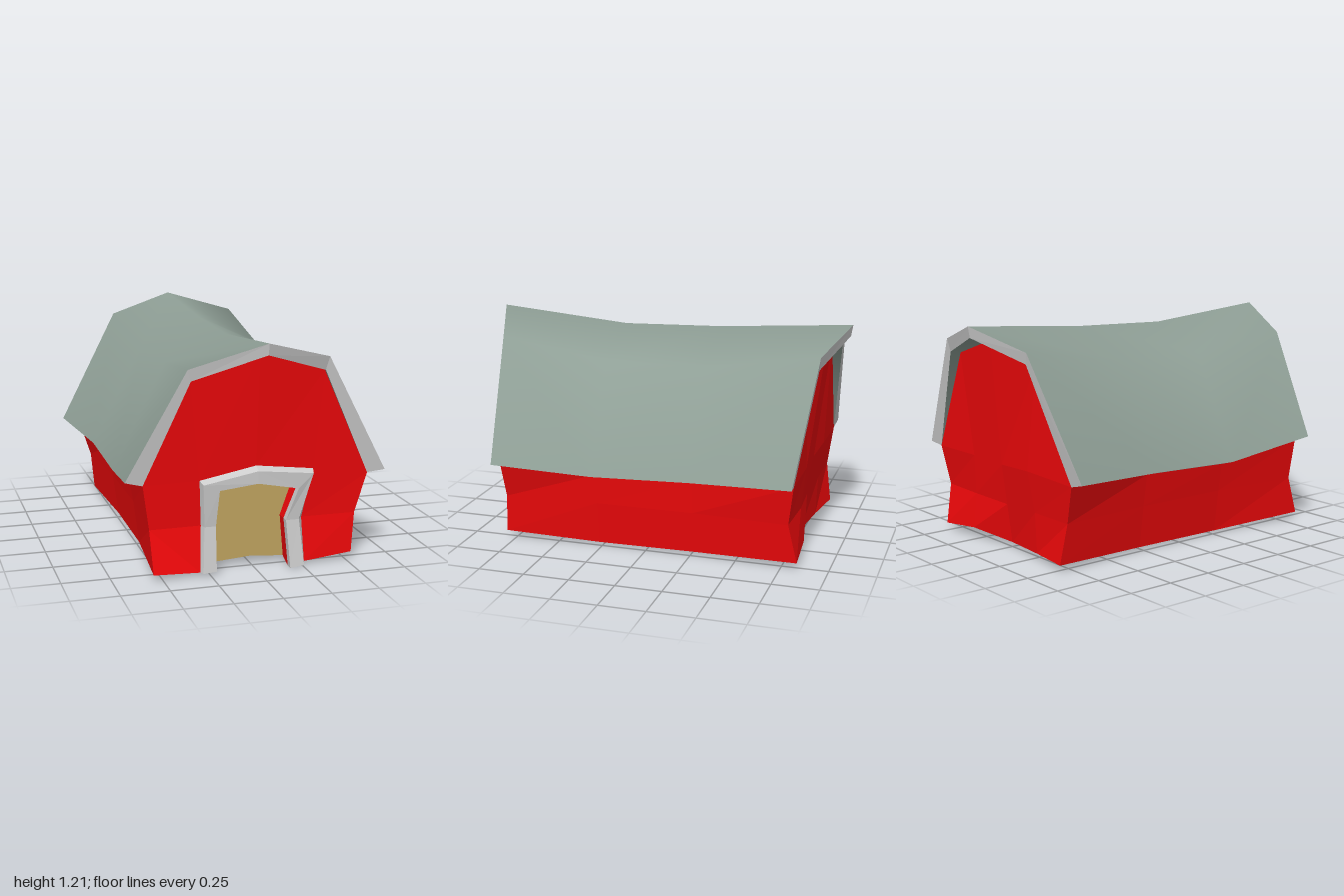
import * as THREE from 'three';

const material = (color, flatShading = true, side = THREE.DoubleSide) =>
  new THREE.MeshStandardMaterial({ color, flatShading, side });

// Skin a grid of points: rows of equal length; flip picks the other diagonal
function skin(name, rows, mat, flip = () => false) {
  const n = rows[0].length, index = [];
  for (let i = 0; i < rows.length - 1; i++) {
    for (let j = 0; j < n - 1; j++) {
      const a = i * n + j, b = a + 1, d = a + n, c = d + 1;
      index.push(...(flip(i, j) ? [a, b, d, b, c, d] : [a, b, c, a, c, d]));
    }
  }
  const geo = new THREE.BufferGeometry();
  geo.setAttribute('position', new THREE.Float32BufferAttribute(rows.flat(2), 3));
  geo.setIndex(index);
  geo.computeVertexNormals();
  const mesh = new THREE.Mesh(geo, mat);
  mesh.name = name;
  return mesh;
}

export function createModel() {
  const barn = new THREE.Group();
  barn.name = 'barn';
  const red = material(0xee080a), grey = material(0xcccccc), tan = material(0xc0a460);
  const shingle = material(0x8f9f96, false, THREE.FrontSide);
  const add = (name, rows, mat, flip) => barn.add(skin(name, rows, mat, flip));

  // Sagging gambrel roof: cross-sections from front to back
  const outer = [
    [[-0.68, 0.51, 0.81], [-0.37, 1.07, 0.86], [0, 1.205, 1], [0.37, 1.1, 0.855], [0.71, 0.475, 0.8]],
    [[-0.63, 0.43, 0.27], [-0.34, 1.0, 0.27], [0, 1.14, 0.27], [0.34, 1.0, 0.27], [0.62, 0.43, 0.27]],
    [[-0.63, 0.45, -0.27], [-0.34, 1.0, -0.27], [0, 1.155, -0.27], [0.34, 1.0, -0.27], [0.62, 0.45, -0.27]],
    [[-0.71, 0.48, -0.82], [-0.37, 1.1, -0.9], [0, 1.205, -1], [0.37, 1.1, -0.9], [0.68, 0.48, -0.83]],
  ];
  const scaleX = [0.865, 0.95, 1, 0.95, 0.865], drop = [0.025, 0.06, 0.06, 0.07, 0.012];
  const inner = outer.map(row => row.map(([x, y, z], j) => [x * scaleX[j], y - drop[j], z * 0.99]));
  const last = outer.length - 1;
  add('roof', outer, shingle, (i, j) => (i < 1) === (j < 2));
  add('roofUnderside', inner.map(row => [...row].reverse()), shingle);
  add('frontRake', [inner[0], outer[0]], grey);
  add('backRake', [outer[last], inner[last]], grey);
  for (const [name, j] of [['rightEave', 0], ['leftEave', 4]]) {
    const edges = [outer.map(r => r[j]), inner.map(r => r[j])];
    add(name, j ? edges : edges.reverse(), grey);
  }

  // Side walls, pinched at mid height: foot and waist points from front to back
  const rightSide = [
    [[-0.55, 0.035, 0.86], [-0.49, 0.015, 0.27], [-0.49, 0.02, -0.27], [-0.525, 0.035, -0.82]],
    [[-0.555, 0.25, 0.79], [-0.52, 0.25, 0.27], [-0.52, 0.25, -0.27], [-0.55, 0.25, -0.79]]];
  const leftSide = [
    [[0.53, 0.04, 0.8], [0.49, 0.015, 0.27], [0.49, 0.02, -0.27], [0.525, 0.035, -0.835]],
    [[0.55, 0.25, 0.785], [0.52, 0.25, 0.27], [0.52, 0.25, -0.27], [0.55, 0.25, -0.79]]];
  add('rightWall', [inner.map(r => r[0]), rightSide[1], rightSide[0]], red);
  add('leftWall', [...leftSide, inner.map(r => r[4])], red);

  // Door outlines, up one side, over the peak and down the other
  const doorOuter = [[-0.3, 0.015, 0.83], [-0.285, 0.25, 0.785], [-0.295, 0.49, 0.8], [0, 0.55, 0.81],
    [0.31, 0.51, 0.8], [0.255, 0.25, 0.785], [0.265, 0.015, 0.81]];
  const frameOuter = [[-0.29, 0.015, 0.855], [-0.275, 0.25, 0.82], [-0.285, 0.475, 0.84], [0, 0.53, 0.85],
    [0.3, 0.495, 0.84], [0.23, 0.25, 0.82], [0.25, 0.01, 0.855]];
  const frameInner = [[-0.22, 0.02, 0.855], [-0.215, 0.25, 0.82], [-0.2, 0.44, 0.84], [0, 0.465, 0.85],
    [0.22, 0.42, 0.84], [0.16, 0.25, 0.82], [0.175, 0, 0.855]];
  const frameBack = frameInner.map(([x, y, z]) => [x, y, z - 0.04]);
  const reveal = frameInner.map(([x, y]) => [x, y, 0.72]);
  reveal[0] = [-0.2, 0.025, 0.72];
  reveal[1] = [-0.185, 0.25, 0.72];
  reveal[6] = [0.18, 0.025, 0.72];

  // Front wall: a panel each side of the door and the gable above
  const frontSet = [0, 0.01, 0.125, 0.01, 0];
  const gableTop = inner[0].map(([x, y, z], j) => [x, y, z - frontSet[j]]);
  add('frontWallRight', [
    [doorOuter[0], rightSide[0][0]],
    [doorOuter[1], rightSide[1][0]],
    [doorOuter[2], gableTop[0]]], red);
  add('frontWallLeft', [
    [doorOuter[6], leftSide[0][0]],
    [doorOuter[5], leftSide[1][0]],
    [doorOuter[4], gableTop[4]]], red);
  add('frontGable', [[gableTop[0], ...doorOuter.slice(2, 5), gableTop[4]], gableTop], red);
  add('frontSoffit', [gableTop, inner[0]], red);

  // Door frame, reveal and recessed door
  const section = [doorOuter, frameOuter, frameInner, frameBack];
  add('doorFrame', section, grey);
  for (const i of [0, 6]) {
    const [a, b, c, d] = section.map(s => s[i]);
    add('doorFrameFoot', [[a, b], [d, c]], grey);
  }
  add('doorReveal', [frameBack, reveal], red);
  add('door', [
    [reveal[0], [0, 0.04, 0.72], reveal[6]],
    [reveal[1], [0, 0.25, 0.72], reveal[5]],
    reveal.slice(2, 5)], tan);

  // Back wall, dented at the foot, with recessed gable and soffit
  const backSet = [0, 0.06, 0.12, 0.06, 0];
  const backTop = inner[last].map(([x, y, z], j) => [x, y, z + backSet[j]]);
  add('backWall', [
    backTop,
    [backTop[0], [-0.25, 0.47, -0.82], [0, 0.46, -0.81], [0.25, 0.47, -0.82], backTop[4]],
    [rightSide[1][last], [-0.27, 0.25, -0.79], [0, 0.24, -0.78], [0.27, 0.25, -0.8], leftSide[1][last]],
    [rightSide[0][last], [-0.27, 0.03, -0.78], [0, 0.025, -0.75], [0.27, 0.06, -0.82], leftSide[0][last]],
  ], red);
  add('backSoffit', [inner[last], backTop], grey);

  return barn;
}
